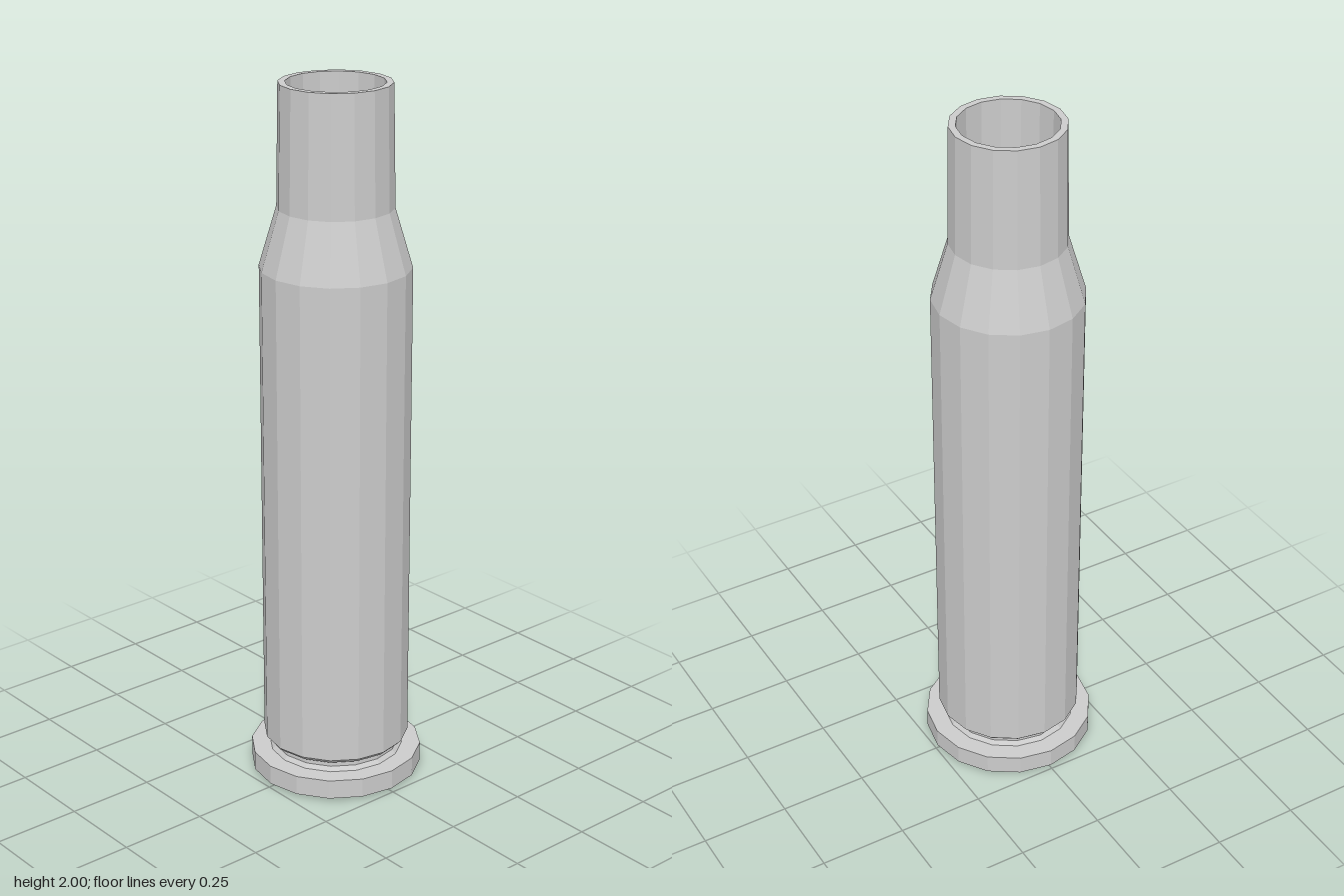
import * as THREE from 'three';

const SIDES = 16;
const material = new THREE.MeshStandardMaterial({ color: 0xcccccc, flatShading: true });

// Faceted solid of revolution; profile is [radius, height] running up the outside
function turned(name, profile) {
  const points = profile.map(([r, y]) => new THREE.Vector2(r, y));
  const geometry = new THREE.LatheGeometry(points, SIDES).toNonIndexed();
  geometry.computeVertexNormals();
  const mesh = new THREE.Mesh(geometry, material);
  mesh.name = name;
  return mesh;
}

export function createModel() {
  const group = new THREE.Group();
  group.name = 'cartridgeCase';

  // Primer cap, standing slightly proud of the base
  group.add(turned('primer', [[0, 0], [0.108, 0], [0.108, 0.012]]));

  // Flat rim and the extractor groove above it
  group.add(turned('rim', [[0, 0.01], [0.245, 0.01], [0.245, 0.066], [0.19, 0.066]]));
  group.add(turned('extractorGroove', [[0.192, 0.066], [0.182, 0.078], [0.182, 0.097], [0.195, 0.097]]));

  // Body, sloped shoulder and slightly tapered neck
  group.add(turned('body', [[0.182, 0.097], [0.195, 0.097], [0.208, 0.11], [0.208, 1.5]]));
  group.add(turned('shoulder', [[0.208, 1.5], [0.159, 1.665]]));
  group.add(turned('neck', [[0.159, 1.665], [0.153, 2], [0.134, 2]]));

  // Hollow inside with a flat floor
  group.add(turned('bore', [[0.134, 2], [0.134, 0.15], [0, 0.15]]));

  return group;
}
